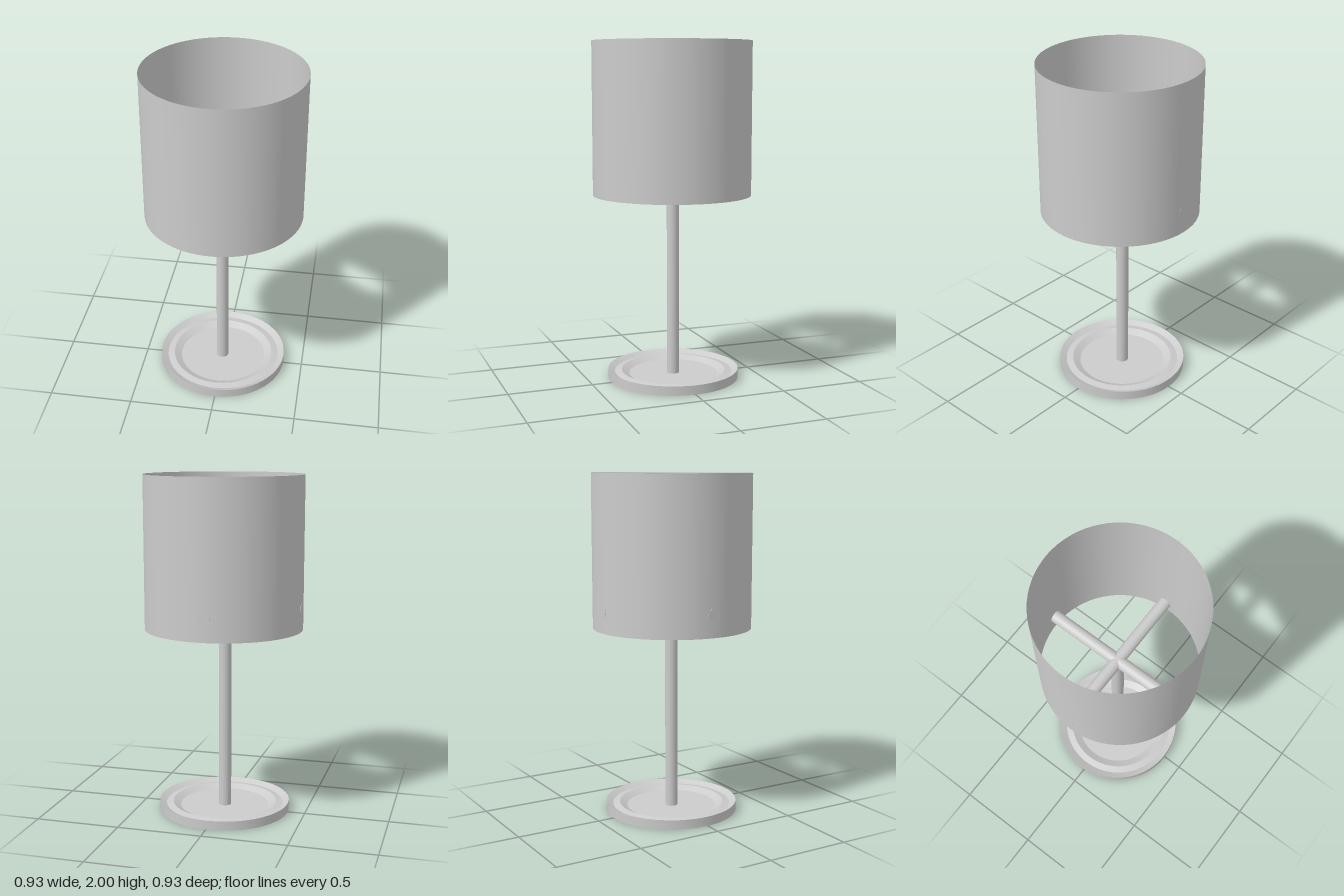
import * as THREE from 'three';
import { toCreasedNormals } from 'three/addons/utils/BufferGeometryUtils.js';

export function createModel() {
  const lamp = new THREE.Group();
  lamp.name = 'tableLamp';
  const grey = new THREE.MeshStandardMaterial({ color: 0xcccccc });
  const thin = new THREE.MeshStandardMaterial({ color: 0xcccccc, side: THREE.DoubleSide });

  const add = (name, geometry, material, x, y, z, parent = lamp) => {
    const mesh = new THREE.Mesh(geometry, material);
    mesh.name = name;
    mesh.position.set(x, y, z);
    parent.add(mesh);
    return mesh;
  };

  // The stand sits slightly off the shade's axis
  const offset = -0.01;
  const rodRadius = 0.037;
  const armY = 1.235;
  const floorY = 0.02;

  // Dished base: raised rim, shallow groove, ridge, sunken floor
  const profile = [
    [0, 0], [0.39, 0], [0.39, 0.055], [0.351, 0.035],
    [0.31, 0.043], [0.265, floorY], [0, floorY],
  ].map(([r, y]) => new THREE.Vector2(r, y));
  add('base', toCreasedNormals(new THREE.LatheGeometry(profile, 72), 0.3), grey, -0.007, 0, offset);

  // Pole from the base floor up to the arms
  const poleHeight = armY - floorY;
  add('pole', new THREE.CylinderGeometry(rodRadius, rodRadius, poleHeight, 32), grey,
    offset, floorY + poleHeight / 2, offset);

  // Two crossed rods that carry the shade
  const arms = new THREE.Group();
  arms.name = 'shadeArms';
  arms.position.set(offset, armY, offset);
  lamp.add(arms);
  const armGeometry = new THREE.CylinderGeometry(rodRadius, rodRadius, 0.91, 32);
  add('sideArm', armGeometry, grey, 0, 0, 0, arms).rotation.z = Math.PI / 2;
  add('frontBackArm', armGeometry, grey, 0, 0, 0, arms).rotation.x = Math.PI / 2;

  // Thin drum shade, open at both ends
  const shadeBottom = 1.105;
  const shadeHeight = 2 - shadeBottom;
  add('shade', new THREE.CylinderGeometry(0.465, 0.465, shadeHeight, 72, 1, true), thin,
    0, shadeBottom + shadeHeight / 2, 0);

  return lamp;
}
